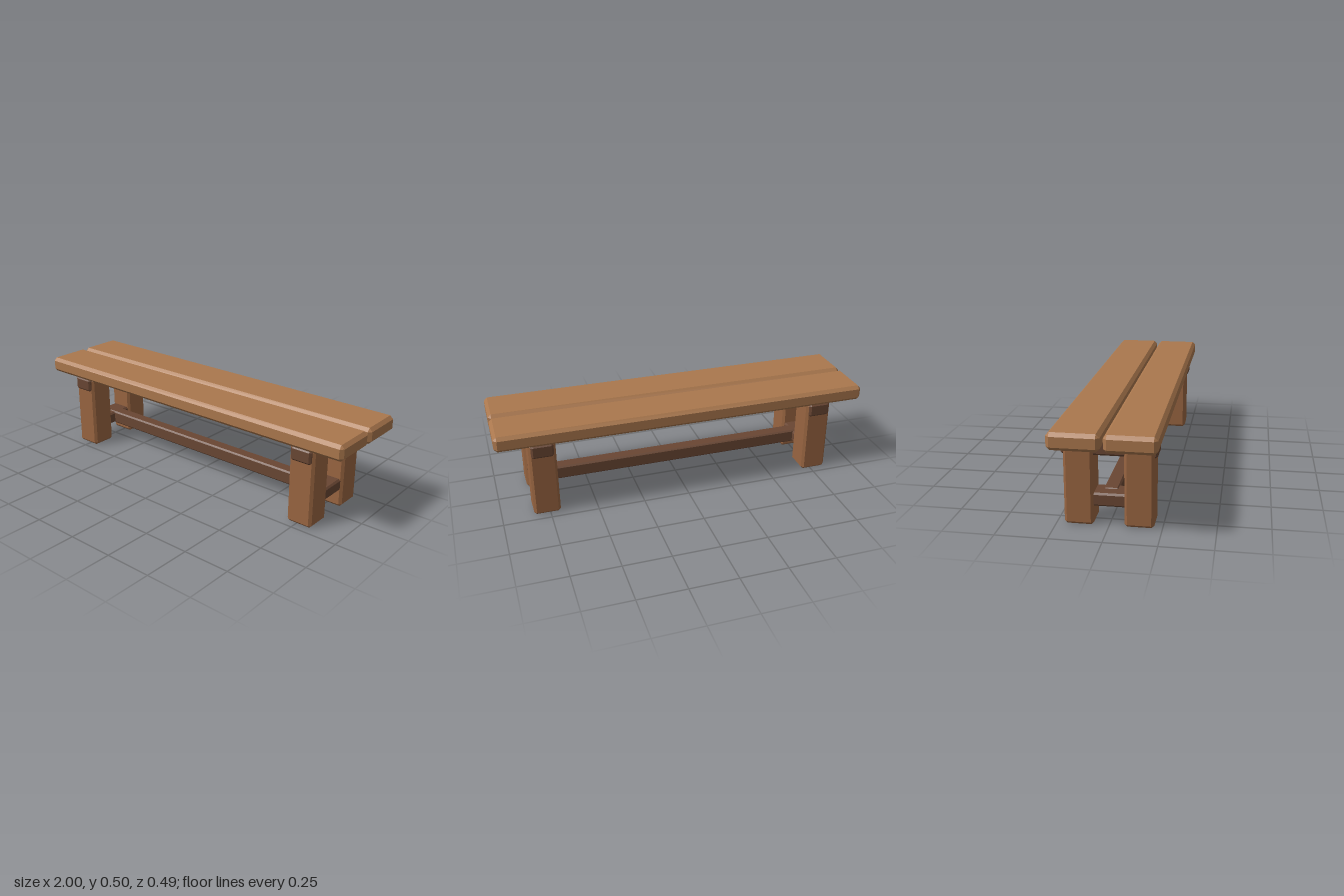
import * as THREE from 'three';
import { ConvexGeometry } from 'three/addons/geometries/ConvexGeometry.js';

// Box with every edge chamfered by c: three corner points per corner
function chamferBox(w, h, d, c) {
  const points = [];
  for (const sx of [-1, 1]) for (const sy of [-1, 1]) for (const sz of [-1, 1]) {
    const x = w / 2, y = h / 2, z = d / 2;
    points.push(
      new THREE.Vector3(sx * x, sy * (y - c), sz * (z - c)),
      new THREE.Vector3(sx * (x - c), sy * y, sz * (z - c)),
      new THREE.Vector3(sx * (x - c), sy * (y - c), sz * z));
  }
  return new ConvexGeometry(points);
}

export function createModel() {
  const bench = new THREE.Group();
  bench.name = 'bench';
  const wood = (color) => new THREE.MeshStandardMaterial({ color, flatShading: true });
  const plankWood = wood(0xaa774d), legWood = wood(0x996541), railWood = wood(0x694633);

  // Adds a beam given its size, centre and chamfer
  const beam = (name, material, [w, h, d], [x, y, z], c) => {
    const mesh = new THREE.Mesh(chamferBox(w, h, d, c), material);
    mesh.name = name;
    mesh.position.set(x, y, z);
    bench.add(mesh);
  };

  // Two seat planks with a narrow gap
  for (const sz of [-1, 1]) {
    beam(sz > 0 ? 'frontSeatPlank' : 'backSeatPlank', plankWood,
      [2, 0.083, 0.24], [0, 0.4605, sz * 0.127], 0.017);
  }

  // Trestle at each end: two legs, top cross rail, lower cross rail
  for (const sx of [-1, 1]) {
    const side = sx > 0 ? 'left' : 'right', x = sx * 0.765;
    for (const sz of [-1, 1]) {
      beam(side + (sz > 0 ? 'FrontLeg' : 'BackLeg'), legWood,
        [0.14, 0.417, 0.14], [x, 0.2085, sz * 0.142], 0.013);
    }
    beam(side + 'TopCrossRail', railWood, [0.116, 0.074, 0.452], [x, 0.38, 0], 0.01);
    beam(side + 'LowerCrossRail', railWood, [0.116, 0.066, 0.3], [x, 0.1255, 0], 0.009);
  }

  // Long stretcher joining the trestles
  beam('stretcher', railWood, [1.53, 0.074, 0.072], [0, 0.126, 0], 0.008);

  return bench;
}
